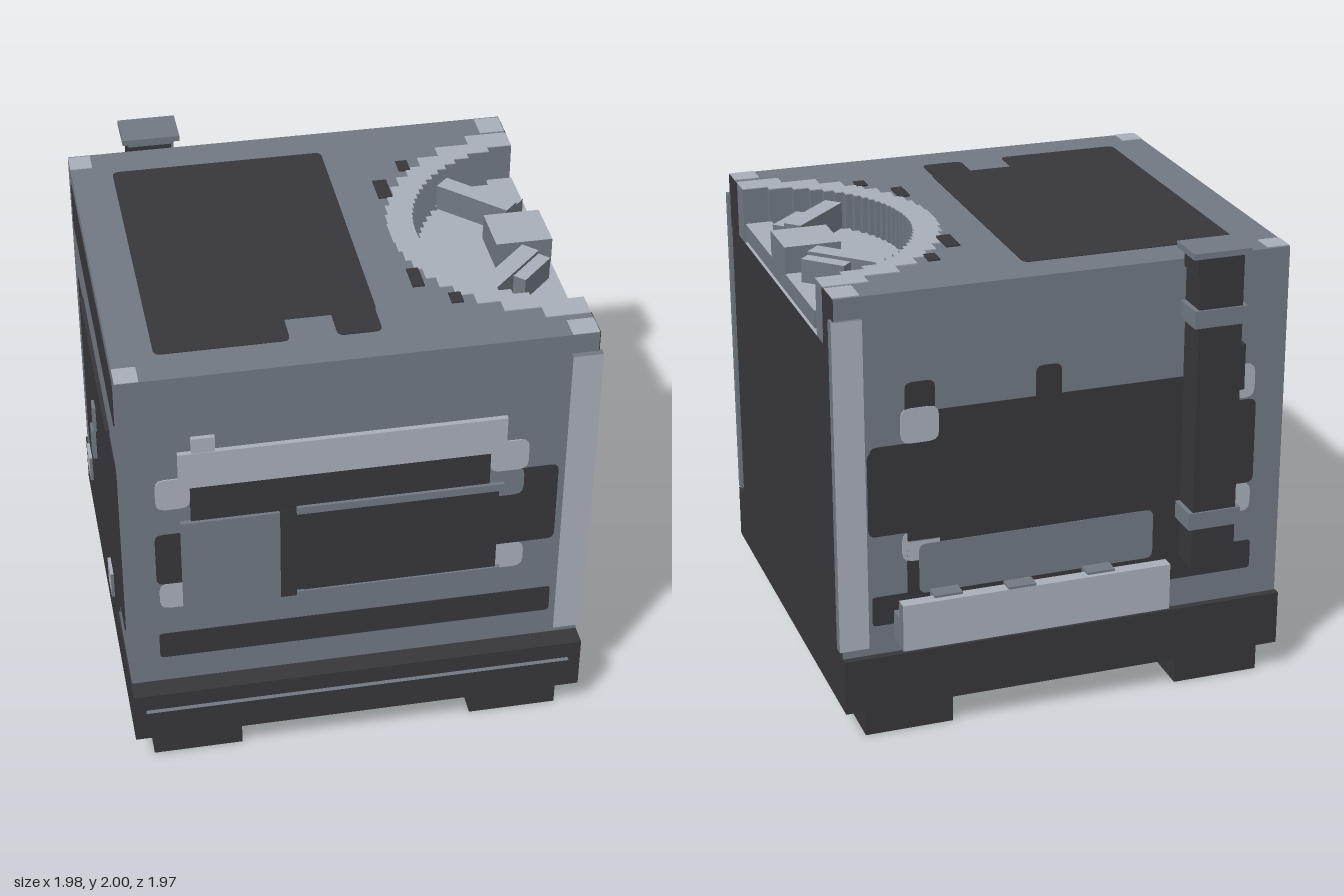
import * as THREE from 'three';

const mat = (name, color, side = THREE.FrontSide) => {
  const m = new THREE.MeshStandardMaterial({ color, side });
  m.name = name;
  return m;
};

export function createModel() {
  const model = new THREE.Group();
  model.name = 'machineCabinet';
  const dark = mat('charcoal', 0x37363b);
  const mid = mat('slateGrey', 0x717882);
  const light = mat('paleGrey', 0xa8aeb9);

  const add = (name, geo, m) => {
    const mesh = new THREE.Mesh(geo, m);
    mesh.name = name;
    model.add(mesh);
    return mesh;
  };
  // Box from its extents; m may be six materials (+x -x +y -y +z -z)
  const box = (name, m, x0, x1, y0, y1, z0, z1) => {
    const mesh = add(name, new THREE.BoxGeometry(x1 - x0, y1 - y0, z1 - z0), m);
    mesh.position.set((x0 + x1) / 2, (y0 + y1) / 2, (z0 + z1) / 2);
    return mesh;
  };
  const LEFT = -0.955, RIGHT = 0.97, TOP = 1.93, FRONT = 0.87, BACK = -0.83;

  // Thin rounded plate on a face; u is x (or z on the sides), v is y (or z on top)
  const paint = (name, m, face, u0, u1, v0, v1, layer = 1, r = 0.03) => {
    const s = new THREE.Shape();
    const flip = face === 'back' || face === 'right';
    const [a, b] = flip ? [-u1, -u0] : [u0, u1];
    const [c, d] = face === 'top' ? [-v1, -v0] : [v0, v1];
    r = Math.min(r, (b - a) / 2, (d - c) / 2);
    s.moveTo(a + r, c).lineTo(b - r, c).quadraticCurveTo(b, c, b, c + r);
    s.lineTo(b, d - r).quadraticCurveTo(b, d, b - r, d);
    s.lineTo(a + r, d).quadraticCurveTo(a, d, a, d - r);
    s.lineTo(a, c + r).quadraticCurveTo(a, c, a + r, c);
    const depth = 0.003 * layer;
    const mesh = add(name, new THREE.ExtrudeGeometry(s, { depth, bevelEnabled: false, curveSegments: 3 }), m);
    if (face === 'front') mesh.position.z = FRONT;
    if (face === 'back') { mesh.rotation.y = Math.PI; mesh.position.z = BACK; }
    if (face === 'left') { mesh.rotation.y = -Math.PI / 2; mesh.position.x = LEFT; }
    if (face === 'right') { mesh.rotation.y = Math.PI / 2; mesh.position.x = RIGHT; }
    if (face === 'top') { mesh.rotation.x = -Math.PI / 2; mesh.position.y = TOP; }
  };

  // Stepped arc around the well centre, from front edge to back edge
  const CX = 1.01, CZ = 0.025;
  const arc = (radius, step) => {
    const pts = [];
    const h = Math.sqrt(radius * radius - (CX - RIGHT) ** 2);
    const n = Math.round((2 * h) / step);
    for (let i = 0; i < n; i++) {
      const a = -h + (2 * h * i) / n, b = -h + (2 * h * (i + 1)) / n;
      const t = (a + b) / 2;
      const x = Math.min(RIGHT - 0.01, CX - Math.sqrt(radius * radius - t * t));
      pts.push(new THREE.Vector2(x, a - CZ), new THREE.Vector2(x, b - CZ));
    }
    return [new THREE.Vector2(RIGHT, -h - CZ), ...pts, new THREE.Vector2(RIGHT, h - CZ)];
  };
  const slab = (name, pts, y0, y1, m) => {
    const g = new THREE.ExtrudeGeometry(new THREE.Shape(pts), { depth: y1 - y0, bevelEnabled: false });
    const mesh = add(name, g, m);
    mesh.rotation.x = -Math.PI / 2;
    mesh.position.y = y0;
  };

  // Feet and base
  for (const [x0, x1] of [[-0.88, -0.5], [0.5, 0.88]])
    for (const [z0, z1] of [[0.55, 0.92], [-0.83, -0.45]])
      box('foot', [dark, dark, dark, mid, dark, dark], x0, x1, 0, 0.13, z0, z1);
  box('base', dark, -0.96, 0.97, 0.13, 0.37, -0.86, 0.96);
  box('baseFrontPanel', [dark, dark, mid, dark, dark, dark], -0.91, 0.915, 0.15, 0.29, 0.96, 0.98);

  // Body with a half-round well cut in the top right side
  box('body', [dark, mid, light, mid, mid, mid], LEFT, RIGHT, 0.37, 1.69, BACK, FRONT);
  const inner = arc(0.6, 0.035);
  slab('bodyTop', [
    new THREE.Vector2(LEFT, -FRONT), new THREE.Vector2(RIGHT, -FRONT), ...inner,
    new THREE.Vector2(RIGHT, -BACK), new THREE.Vector2(LEFT, -BACK),
  ], 1.69, TOP, mid);
  paint('rightFrontTrim', dark, 'right', 0.73, FRONT, 1.69, TOP, 1, 0);
  paint('rightBackTrim', dark, 'right', BACK, -0.68, 1.69, TOP, 1, 0);

  // Ring around the well, its dark chips, the round table and the parts on it
  slab('wellRing', [...arc(0.71, 0.07), ...inner.slice().reverse()], TOP, TOP + 0.004, light);
  for (const [u0, u1, v0, v1] of [[0.31, 0.37, -0.39, -0.25], [0.31, 0.36, 0.3, 0.43],
    [0.44, 0.49, -0.53, -0.45], [0.44, 0.49, 0.5, 0.57]])
    paint('ringChip', dark, 'top', u0, u1, v0, v1, 2, 0);
  slab('wellTable', arc(0.57, 0.04), 1.71, 1.785, [light, mid]);
  const topLight = [mid, mid, light, mid, mid, mid];
  box('tableBlock', topLight, 0.73, 0.97, 1.785, 1.9, -0.09, 0.14);
  for (const s of [-1, 1])
    for (const [x, len, wid, h] of [[0.74, 0.35, 0.08, 0.115], [0.836, 0.2, 0.07, 0.1]]) {
      const off = x > 0.8 ? 0.277 : 0.285;
      const bar = box('tableBar', topLight, x - len / 2, x + len / 2, 1.785, 1.785 + h, CZ + s * off - wid / 2, CZ + s * off + wid / 2);
      bar.rotation.y = s * Math.PI / 4;
    }

  // Right corner strips
  box('frontCornerStrip', [mid, mid, mid, mid, light, mid], 0.86, 0.985, 0.41, 1.84, 0.86, 0.895);
  box('backCornerStrip', [mid, mid, mid, mid, mid, light], 0.86, 0.985, 0.41, 1.84, -0.845, -0.8);

  // Top markings
  paint('topPanelBack', dark, 'top', -0.78, 0.135, -0.665, 0.56);
  paint('topPanelFrontLeft', dark, 'top', -0.78, -0.24, 0.4, 0.705);
  paint('topPanelFrontRight', dark, 'top', -0.05, 0.13, 0.4, 0.705);
  box('topPanelFill', dark, -0.26, -0.03, TOP, TOP + 0.003, 0.4, 0.53);
  for (const [u0, u1, v0, v1] of [[-0.955, -0.86, -0.82, -0.72], [-0.955, -0.86, 0.77, 0.87],
    [0.86, 0.97, 0.77, 0.87], [0.86, 0.97, -0.82, -0.7]])
    paint('cornerPatch', light, 'top', u0, u1, v0, v1, 1, 0.005);

  // Markings shared by front and back
  for (const face of ['front', 'back']) {
    paint('lowerSlot', dark, face, -0.83, 0.84, 0.5, 0.63, 1, 0.015);
    paint('leftDarkPatch', dark, face, -0.83, -0.6, 0.9, face === 'front' ? 1.16 : 1.28);
    paint('rightDarkPatch', dark, face, 0.55, 0.84, 0.9, 1.29);
    for (const [x0, x1] of [[-0.82, -0.68], [0.55, 0.71]]) {
      paint('upperLightPatch', light, face, x0, x1, 1.29, 1.44, 2, 0.04);
      paint('lowerLightPatch', light, face, x0, x1, 0.77, 0.9, 1, 0.04);
    }
  }
  paint('patchNotch', mid, 'front', 0.5, 0.695, 1.16, 1.3, 2, 0.04);

  // Front fittings
  box('upperRecess', dark, -0.68, 0.55, 1.2, 1.4, 0.87, 0.878);
  box('upperBar', light, -0.725, 0.61, 1.4, 1.57, 0.87, 0.892);
  box('barTab', light, -0.67, -0.575, 1.57, 1.64, 0.87, 0.89);
  box('slidingDoor', mid, -0.725, -0.32, 0.765, 1.22, 0.87, 0.892);
  box('doorGap', dark, -0.32, -0.22, 0.76, 1.22, 0.87, 0.88);
  box('window', dark, -0.22, 0.59, 0.78, 1.21, 0.87, 0.884);
  box('upperRail', mid, -0.25, 0.61, 1.2, 1.235, 0.87, 0.892);
  box('lowerRail', mid, -0.25, 0.61, 0.75, 0.79, 0.87, 0.892);

  // Left side hatch, its clips and the markings around it
  paint('leftTopBand', dark, 'left', -0.72, 0.78, 1.65, 1.87);
  paint('hatchSurround', dark, 'left', -0.68, 0.73, 0.53, 1.41);
  box('hatch', dark, -0.972, LEFT, 0.46, 1.44, -0.465, 0.51);
  for (const [y0, y1, z0, z1] of [[0.51, 0.635, -0.465, -0.35], [0.51, 0.635, 0.35, 0.465]])
    box('hatchHinge', [mid, light, light, mid, mid, mid], -0.985, LEFT, y0, y1, z0, z1);
  box('upperLatch', mid, -0.985, LEFT, 1.09, 1.215, -0.01, 0.05);
  box('lowerLatch', mid, -0.99, LEFT, 0.89, 1.04, -0.085, -0.02);

  // Back markings
  paint('backPanel', dark, 'back', -0.6, 0.69, 0.85, 1.42);
  paint('backPanelSide', dark, 'back', 0.6, 0.85, 0.9, 1.27);
  paint('backPanelTab', dark, 'back', 0.565, 0.69, 1.3, 1.55);
  paint('backPanelTab', dark, 'back', 0.03, 0.14, 1.35, 1.55);
  paint('backLowerPanel', dark, 'back', -0.5, 0.69, 0.52, 0.9);
  paint('backLowerInset', mid, 'back', -0.38, 0.64, 0.62, 0.84, 2);

  // Back tray with a raised lip and small tabs
  const trayMats = [mid, mid, mid, mid, mid, light];
  box('trayFloor', trayMats, -0.41, 0.75, 0.435, 0.56, -0.955, BACK);
  box('trayLip', [mid, mid, light, mid, mid, light], -0.41, 0.75, 0.435, 0.64, -0.962, -0.908);
  for (const [x, z] of [[-0.11, -0.908], [0.24, -0.927], [0.547, -0.9]])
    box('trayTab', mid, x - 0.06, x + 0.06, 0.56, 0.65, z - 0.034, z + 0.034);

  // Exhaust pipe with brackets and cap
  box('pipe', dark, -0.69, -0.5, 0.61, 1.95, -0.97, BACK);
  box('pipeNeck', [dark, dark, mid, dark, mid, dark], -0.69, -0.49, 1.9, 1.98, -0.97, BACK);
  box('pipeCap', mid, -0.715, -0.465, 1.975, 2, -0.985, -0.805);
  for (const y of [0.79, 1.68]) box('pipeBracket', mid, -0.71, -0.48, y, y + 0.075, -0.978, BACK);
  box('pipeJunction', dark, -0.75, -0.69, 1.35, 1.55, -0.885, BACK);

  return model;
}
